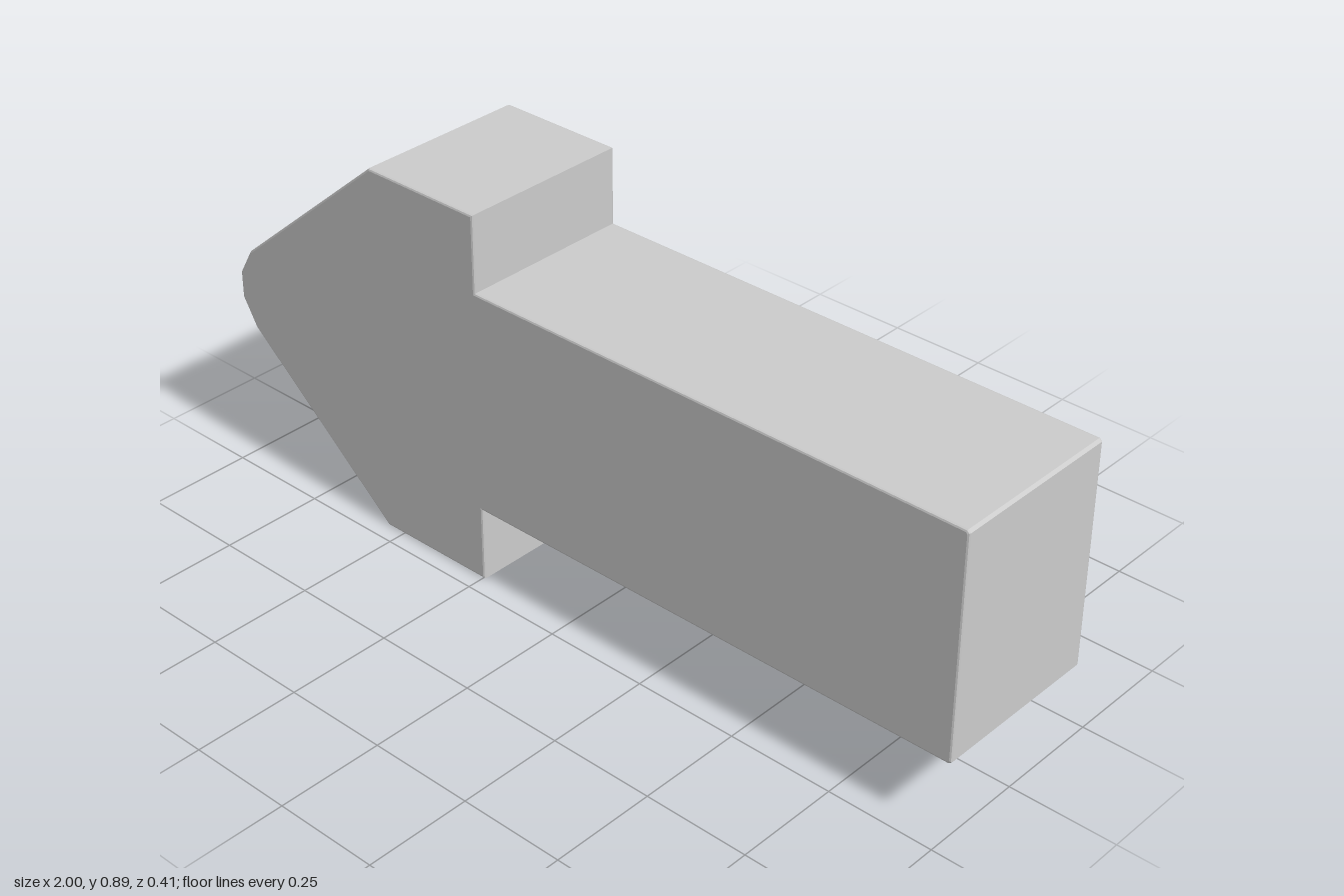
import * as THREE from 'three';

const MID = 0.445; // height of the arrow's centre line
const DEPTH = 0.414;
const BEVEL = 0.005;

export function createModel() {
  const group = new THREE.Group();
  group.name = 'arrow';

  // Upper half of the outline from blunt tip to shaft end, mirrored for the lower half
  const upper = [
    [-1, 0.032], [-0.962, 0.097], [-0.55, 0.445], [-0.245, 0.445],
    [-0.245, 0.266], [0.994, 0.266], [1, 0.26],
  ];
  const lower = upper.map(([x, y]) => [x, -y]).reverse();
  const outline = [...upper, ...lower].reverse()
    .map(([x, y]) => new THREE.Vector2(x, MID + y));

  // Thick arrow body with slightly softened front and back edges
  const geometry = new THREE.ExtrudeGeometry(new THREE.Shape(outline), {
    depth: DEPTH - 2 * BEVEL,
    bevelEnabled: true,
    bevelSize: BEVEL,
    bevelOffset: -BEVEL,
    bevelThickness: BEVEL,
    bevelSegments: 2,
  });
  geometry.translate(0, 0, -DEPTH / 2 + BEVEL);

  const body = new THREE.Mesh(geometry, new THREE.MeshStandardMaterial({ color: 0xcccccc }));
  body.name = 'arrowBody';
  group.add(body);
  return group;
}
